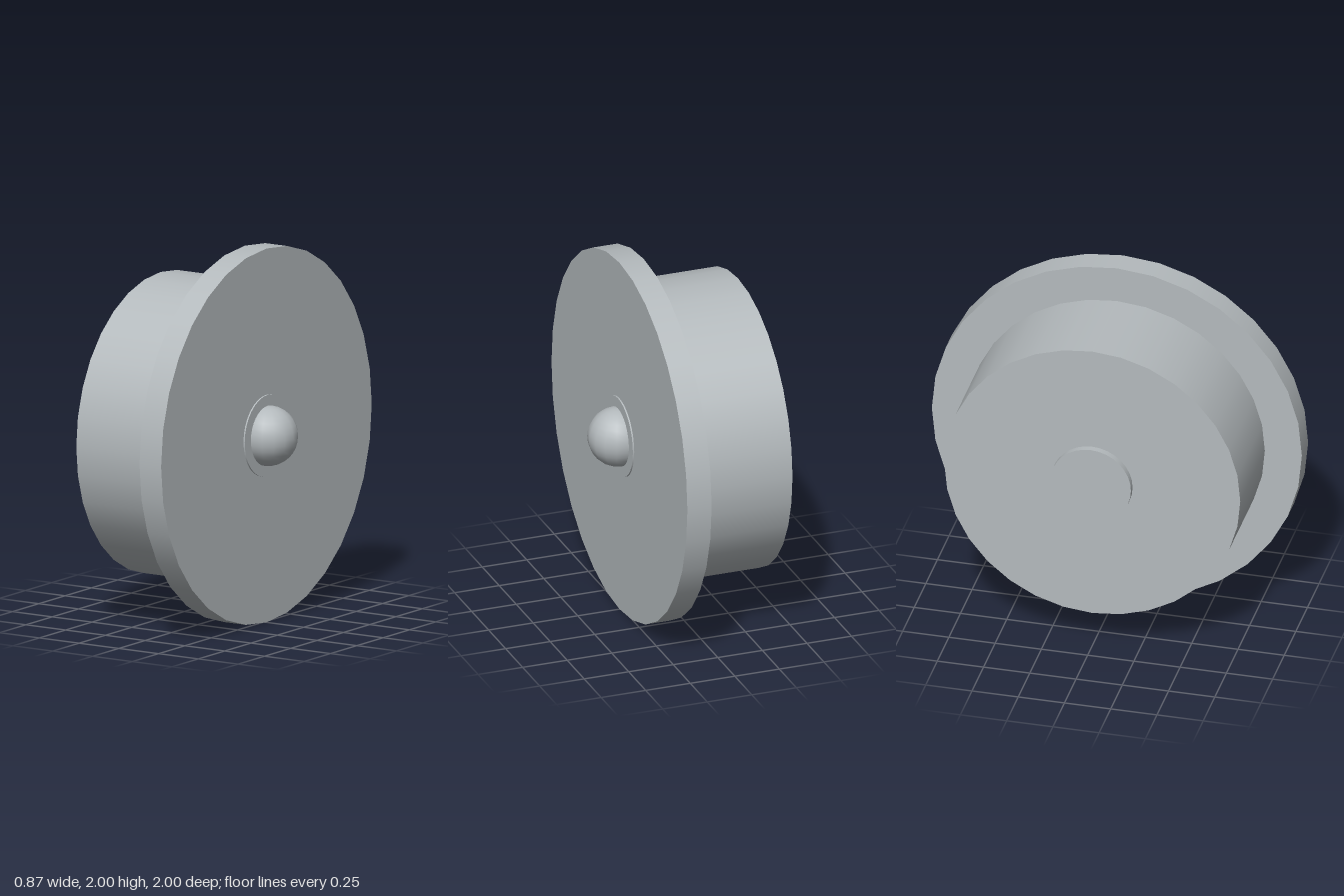
import * as THREE from 'three';

export function createModel() {
  const model = new THREE.Group();
  const steel = new THREE.MeshStandardMaterial({ color: 0xb4babd });
  steel.name = 'steel grey';

  // Disc lying along the x axis from x0 to x1
  function disc(name, radius, x0, x1) {
    const geometry = new THREE.CylinderGeometry(radius, radius, x1 - x0, 32);
    geometry.rotateZ(-Math.PI / 2);
    const mesh = new THREE.Mesh(geometry, steel);
    mesh.name = name;
    mesh.position.set((x0 + x1) / 2, 1, 0);
    model.add(mesh);
  }

  disc('wheelTread', 0.8, -0.4, 0.13);
  disc('wheelFlange', 1, 0.13, 0.266);
  disc('axleHub', 0.218, -0.436, 0.274);

  // Rounded axle end, half sunk into the hub
  const cap = new THREE.Mesh(new THREE.SphereGeometry(0.16, 16, 16), steel);
  cap.name = 'axleCap';
  cap.position.set(0.276, 1, 0);
  model.add(cap);

  return model;
}
